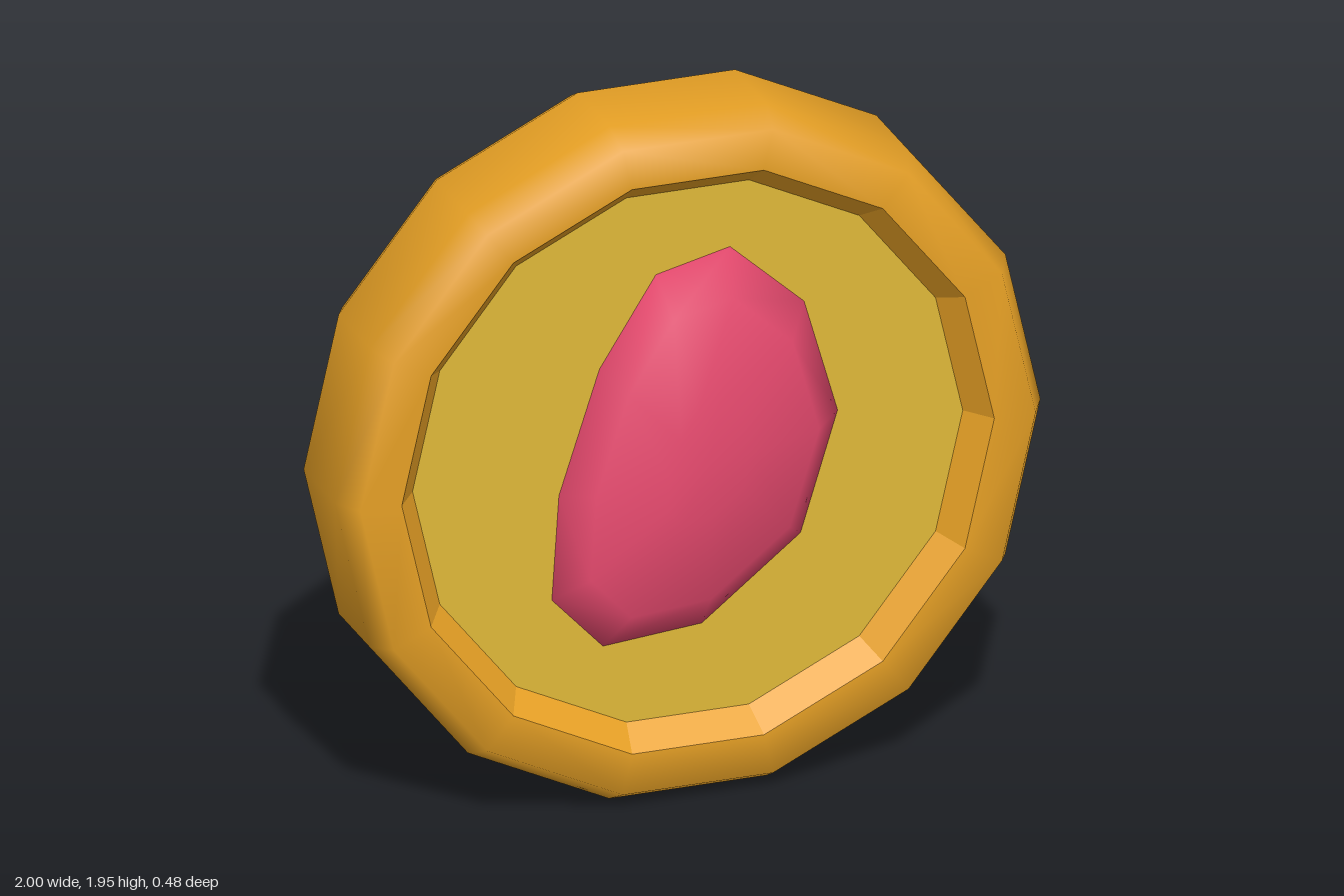
import * as THREE from 'three';

const SIDES = 14;
const CENTER_Y = 0.975;

const mat = (name, color) => {
  const m = new THREE.MeshStandardMaterial({ color });
  m.name = name;
  return m;
};

// Ring swept around the z axis from [radius, z] points, with corners on the x axis
function ring(points) {
  const g = new THREE.LatheGeometry(points.map(p => new THREE.Vector2(...p)), SIDES, Math.PI / 2);
  return g.rotateX(Math.PI / 2);
}

// Same ring with a separate flat normal for each facet
function facetedRing(points) {
  const g = ring(points).toNonIndexed();
  g.computeVertexNormals();
  return g;
}

// Closed solid from scaled copies of an outline, stacked from back to front
function stackedOutline(outline, [cx, cy], levels) {
  const n = outline.length;
  const pos = [], idx = [];
  for (const [s, z] of levels)
    for (const [x, y] of outline) pos.push(cx + (x - cx) * s, cy + (y - cy) * s, z);
  for (let r = 0; r < levels.length - 1; r++)
    for (let i = 0; i < n; i++) {
      const a = r * n + i, b = r * n + (i + 1) % n;
      idx.push(a, b, b + n, a, b + n, a + n);
    }
  const last = (levels.length - 1) * n;
  const back = pos.length / 3, front = back + 1;
  pos.push(cx, cy, levels[0][1], cx, cy, levels[levels.length - 1][1]);
  for (let i = 0; i < n; i++) {
    const j = (i + 1) % n;
    idx.push(back, j, i, front, last + i, last + j);
  }
  const g = new THREE.BufferGeometry();
  g.setAttribute('position', new THREE.Float32BufferAttribute(pos, 3));
  g.setIndex(idx);
  g.computeVertexNormals();
  return g;
}

export function createModel() {
  const group = new THREE.Group();
  group.name = 'medallion';
  const rimGold = mat('rim gold', 0xe6a025);
  const faceGold = mat('face gold', 0xe0b838);
  const gemPink = mat('gem pink', 0xe84a6f);

  const add = (name, geometry, material, y = CENTER_Y) => {
    const mesh = new THREE.Mesh(geometry, material);
    mesh.name = name;
    mesh.position.y = y;
    group.add(mesh);
  };

  // Smooth outer rim with chamfered edges
  add('rim', ring([
    [0.84, -0.2], [0.957, -0.2], [1, -0.12], [1, 0.12], [0.957, 0.2], [0.84, 0.2],
  ]), rimGold);

  // Sloping inner walls on both sides
  add('frontInnerWall', facetedRing([[0.84, 0.2], [0.78, 0.12]]), rimGold);
  add('backInnerWall', facetedRing([[0.78, -0.12], [0.84, -0.2]]), rimGold);

  // Recessed disc
  const disc = new THREE.CylinderGeometry(0.78, 0.78, 0.24, SIDES, 1, false, Math.PI / 2);
  add('disc', disc.rotateX(Math.PI / 2), faceGold);

  // Tilted gem passing through the disc, domed on both faces
  const outline = [
    [0.12, 1.55], [-0.09, 1.5], [-0.25, 1.25], [-0.365, 0.9], [-0.385, 0.6],
    [-0.24, 0.445], [0.04, 0.47], [0.32, 0.69], [0.425, 1.03], [0.33, 1.36],
  ];
  const levels = [
    [0.3, -0.24], [0.8, -0.2], [1, -0.12], [1, 0.12], [0.8, 0.2], [0.3, 0.24],
  ];
  add('gem', stackedOutline(outline, [0.02, 0.98], levels), gemPink, 0);

  return group;
}
